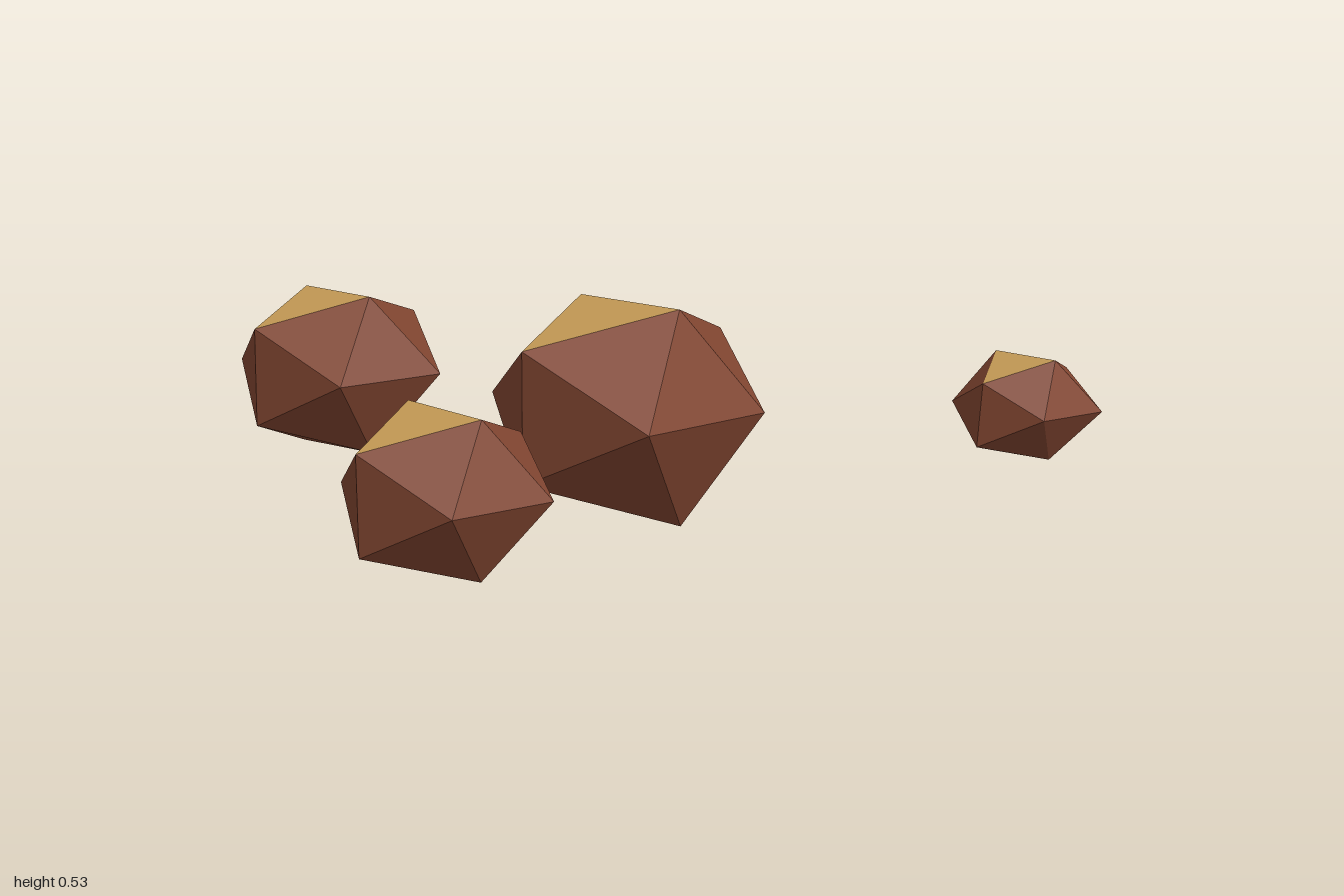
import * as THREE from 'three';

const PHI = (1 + Math.sqrt(5)) / 2;
const FLATTEN = 0.82;

// Icosahedron corners: top pair, bottom pair, front, back, right-hand and left-hand pairs
const CORNERS = [
  [-1, PHI, 0], [1, PHI, 0], [-1, -PHI, 0], [1, -PHI, 0],
  [0, -1, PHI], [0, 1, PHI], [0, -1, -PHI], [0, 1, -PHI],
  [PHI, 0, -1], [PHI, 0, 1], [-PHI, 0, -1], [-PHI, 0, 1],
];

// The two upward faces come first
const FACES = [
  0, 5, 1, 0, 1, 7, 0, 11, 5, 0, 7, 10, 0, 10, 11,
  1, 5, 9, 5, 11, 4, 11, 10, 2, 10, 7, 6, 7, 1, 8,
  3, 9, 4, 3, 4, 2, 3, 2, 6, 3, 6, 8, 3, 8, 9,
  4, 9, 5, 2, 4, 11, 6, 2, 10, 8, 6, 7, 9, 8, 1,
];

// Each rock: centre, half edge length and a radial factor for each corner
const ROCKS = [
  { name: 'largeCentreRock', at: [0.12, 0.275, -0.12], size: 0.204,
    factors: [0.91, 0.96, 1.01, 1.015, 0.985, 0.99, 1.015, 0.92, 0.91, 0.99, 1.015, 0.93] },
  { name: 'rightRock', at: [-0.69, 0.278, 0.207], size: 0.153,
    factors: [0.97, 1.02, 1.14, 1.02, 1.02, 1.02, 0.99, 0.99, 1.01, 0.975, 0.95, 0.98] },
  { name: 'frontLeftRock', at: [0.6, 0.28, 0.772], size: 0.13,
    factors: [1.02, 1.04, 0.99, 0.99, 1.04, 1.06, 0.99, 0.96, 1.0, 0.98, 1.0, 0.98] },
  { name: 'backLeftRock', at: [0.767, 0.28, -0.843], size: 0.097,
    factors: [0.97, 1.0, 1.0, 0.92, 1.02, 0.93, 0.89, 0.98, 1.04, 0.96, 1.01, 0.95] },
  { name: 'smallBackRock', at: [-0.288, 0.278, -0.602], size: 0.0766,
    factors: [1.0, 0.94, 1.0, 1.02, 1.02, 1.02, 0.99, 1.0, 0.985, 0.985, 0.985, 0.985] },
];

function rockGeometry(size, factors) {
  const positions = CORNERS.flatMap(([x, y, z], i) => {
    const r = size * factors[i];
    return [x * r, y * r * FLATTEN, z * r];
  });
  const indexed = new THREE.BufferGeometry();
  indexed.setAttribute('position', new THREE.Float32BufferAttribute(positions, 3));
  indexed.setIndex(FACES);
  const geometry = indexed.toNonIndexed();
  geometry.computeVertexNormals();
  geometry.addGroup(0, 6, 0); // sandy top
  geometry.addGroup(6, FACES.length - 6, 1); // brown sides
  return geometry;
}

export function createModel() {
  const sand = new THREE.MeshStandardMaterial({ color: 0xc49a55, flatShading: true });
  sand.name = 'sand';
  const brownStone = new THREE.MeshStandardMaterial({ color: 0x824631, flatShading: true });
  brownStone.name = 'brownStone';

  const group = new THREE.Group();
  group.name = 'floatingRocks';
  for (const { name, at, size, factors } of ROCKS) {
    const rock = new THREE.Mesh(rockGeometry(size, factors), [sand, brownStone]);
    rock.name = name;
    rock.position.set(...at);
    group.add(rock);
  }
  return group;
}
